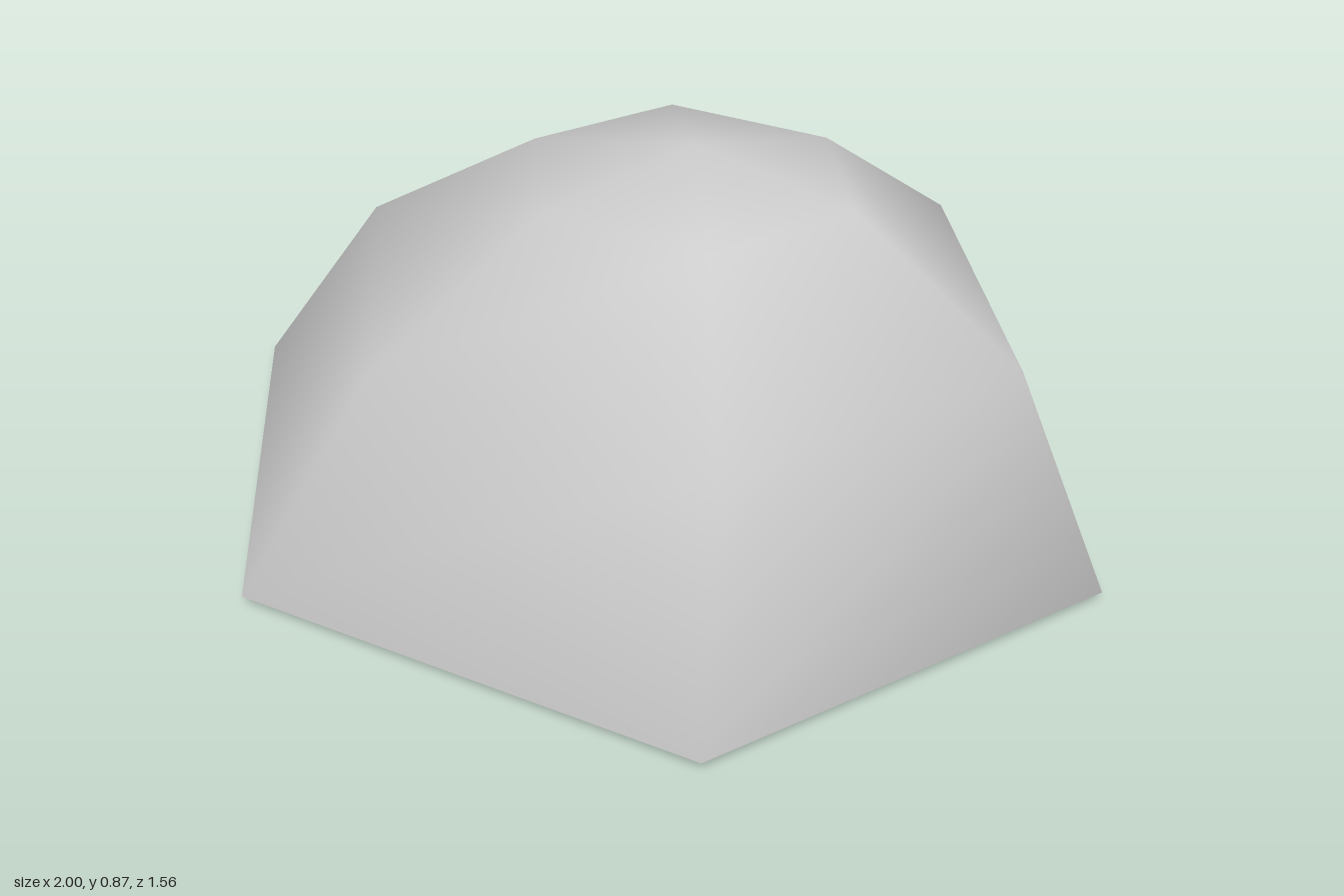
import * as THREE from 'three';

const SIDES = 6;
const DEPTH = 0.9; // z squash of the hexagon

// Leaning rings from base to crown: [radius, y, centre x, centre z]
const RINGS = [
  [0.9, 0, 0, 0],
  [1, 0.03, 0, 0],
  [0.715, 0.53, 0.095, 0.07],
  [0.34, 0.8, 0.14, 0.105],
];

function domeGeometry() {
  const points = [];
  const index = [];
  for (const [r, y, cx, cz] of RINGS) {
    for (let i = 0; i < SIDES; i++) {
      const a = (i / SIDES) * Math.PI * 2;
      points.push(cx + r * Math.cos(a), y, cz + r * DEPTH * Math.sin(a));
    }
  }
  // Centres of the flat underside and the peak
  const bottom = RINGS.length * SIDES;
  const peak = bottom + 1;
  points.push(0, 0, 0, 0.155, 0.87, 0.115);

  const last = (RINGS.length - 1) * SIDES;
  for (let i = 0; i < SIDES; i++) {
    const j = (i + 1) % SIDES;
    index.push(bottom, i, j);
    for (let k = 0; k < last; k += SIDES) {
      const a = k + i, b = k + j;
      index.push(a, a + SIDES, b, b, a + SIDES, b + SIDES);
    }
    index.push(peak, last + j, last + i);
  }

  const geometry = new THREE.BufferGeometry();
  geometry.setAttribute('position', new THREE.Float32BufferAttribute(points, 3));
  geometry.setIndex(index);
  geometry.computeVertexNormals(); // shared corners shade smoothly
  return geometry;
}

export function createModel() {
  const group = new THREE.Group();
  group.name = 'leaningDome';
  const stone = new THREE.MeshStandardMaterial({ color: 0xcccccc });
  stone.name = 'light grey';
  const dome = new THREE.Mesh(domeGeometry(), stone);
  dome.name = 'dome';
  group.add(dome);
  return group;
}
